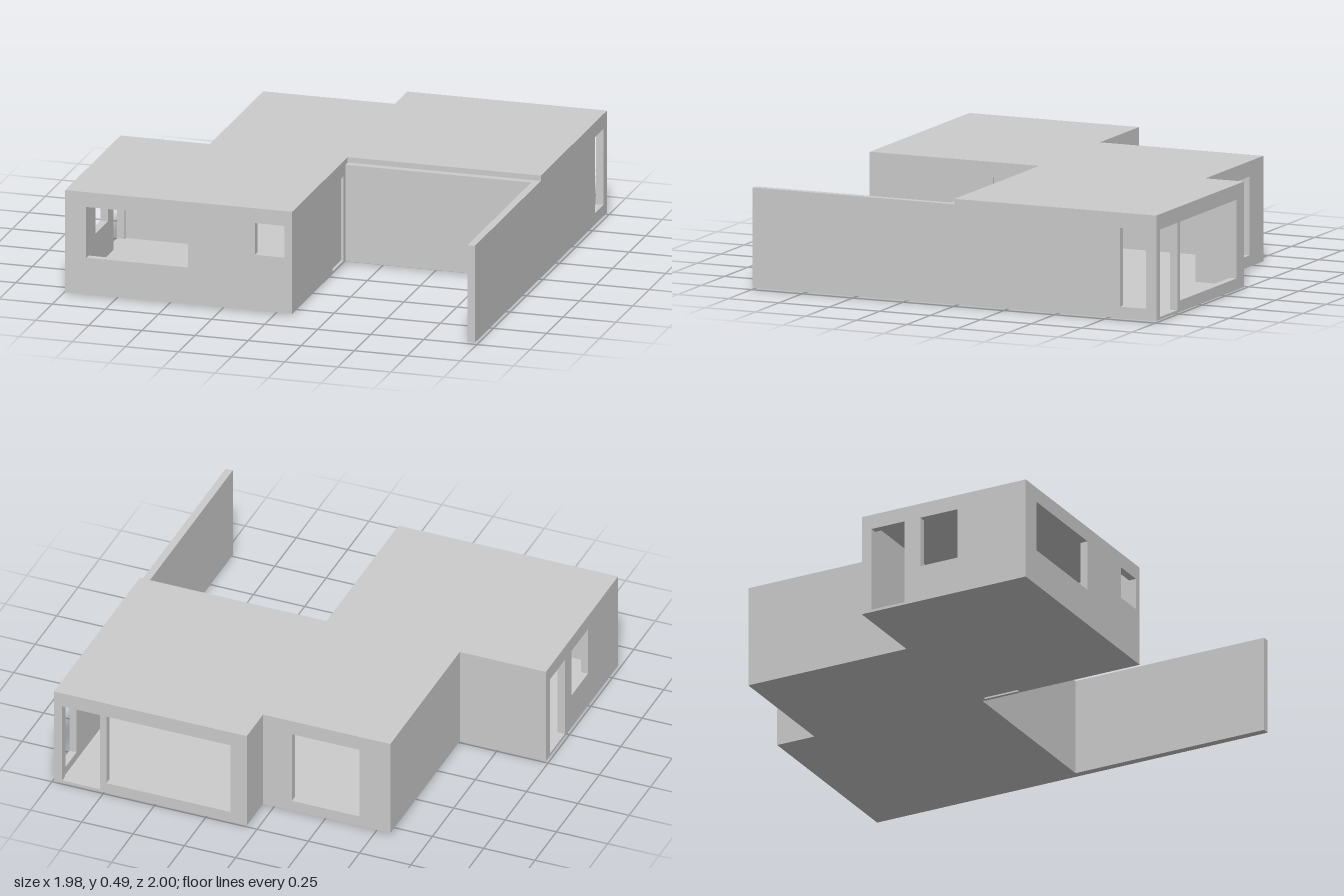
import * as THREE from 'three';

const T = 0.035;      // wall thickness
const BASE = 0.008;   // underside of the house
const FLOOR = 0.02;   // floor level
const EAVES = 0.465;  // top of walls
const ROOF = 0.49;
const HEAD = 0.42;    // top of all openings

// footprint of the house as [x, z] corners
const PLAN = [[-0.99, 0.84], [0.08, 0.84], [0.08, 0], [0.99, 0], [0.99, -1],
  [0.05, -1], [0.05, -0.81], [-0.57, -0.81], [-0.57, 0], [-0.99, 0]];

export function createModel() {
  const house = new THREE.Group();
  house.name = 'house';
  const material = new THREE.MeshStandardMaterial({ color: 0xcccccc, flatShading: true });

  function add(name, geometry) {
    const mesh = new THREE.Mesh(geometry, material);
    mesh.name = name;
    house.add(mesh);
    return mesh;
  }

  // upright wall panel from a to b, with openings [from, to, sill]
  function panel(a, b, openings) {
    const shape = new THREE.Shape([[a, BASE], [b, BASE], [b, EAVES], [a, EAVES]]
      .map(p => new THREE.Vector2(...p)));
    for (const [u, v, sill] of openings) {
      shape.holes.push(new THREE.Path([[u, sill], [u, HEAD], [v, HEAD], [v, sill]]
        .map(p => new THREE.Vector2(...p))));
    }
    return new THREE.ExtrudeGeometry(shape, { depth: T, bevelEnabled: false });
  }
  // wall running along x, occupying z .. z + T
  const wallX = (name, a, b, z, openings = []) =>
    add(name, panel(a, b, openings).translate(0, 0, z));
  // wall running along z, occupying x .. x + T
  const wallZ = (name, a, b, x, openings = []) =>
    add(name, panel(a, b, openings).rotateY(-Math.PI / 2).translate(x + T, 0, 0));

  // floor and roof slabs
  function slab(name, y0, y1) {
    const shape = new THREE.Shape(PLAN.map(([x, z]) => new THREE.Vector2(x, -z)));
    add(name, new THREE.ExtrudeGeometry(shape, { depth: y1 - y0, bevelEnabled: false })
      .rotateX(-Math.PI / 2).translate(0, y0, 0));
  }
  slab('floorSlab', BASE, FLOOR);
  slab('roofSlab', EAVES, ROOF);

  // front wing
  wallX('frontWall', -0.99, 0.08, 0.84 - T, [[-0.89, -0.41, 0.18], [-0.095, 0.045, 0.27]]);
  wallZ('wingLeftWall', T, 0.84 - T, -0.99, [[0.05, 0.22, FLOOR], [0.3, 0.49, 0.18]]);
  wallZ('entranceWall', T, 0.84 - T, 0.08 - T, [[0.06, 0.23, FLOOR]]);
  wallX('wingBackWall', -0.99, -0.46, 0);

  // main block
  wallX('courtyardWall', 0.08 - T, 0.99 - T, 0);
  wallZ('mainLeftWall', -0.81 + T, 0, -0.57);
  wallX('middleBackWall', -0.57, 0.05 + T, -0.81, [[-0.42, -0.09, 0.06]]);
  wallZ('stepWall', -1 + T, -0.81, 0.05);
  wallX('backWall', 0.05, 0.99, -1, [[0.13, 0.735, 0.06], [0.765, 0.95, FLOOR]]);

  // long right wall, running on past the house to shelter the courtyard
  wallZ('rightWall', -1 + T, 1, 0.99 - T, [[-0.95, -0.82, 0.06]]);

  // entrance door, set back in its opening
  add('entranceDoor', new THREE.BoxGeometry(0.015, HEAD, 0.17).translate(0.06, HEAD / 2, 0.145));
  add('doorHandle', new THREE.BoxGeometry(0.01, 0.008, 0.02).translate(0.071, 0.18, 0.21));

  return house;
}
